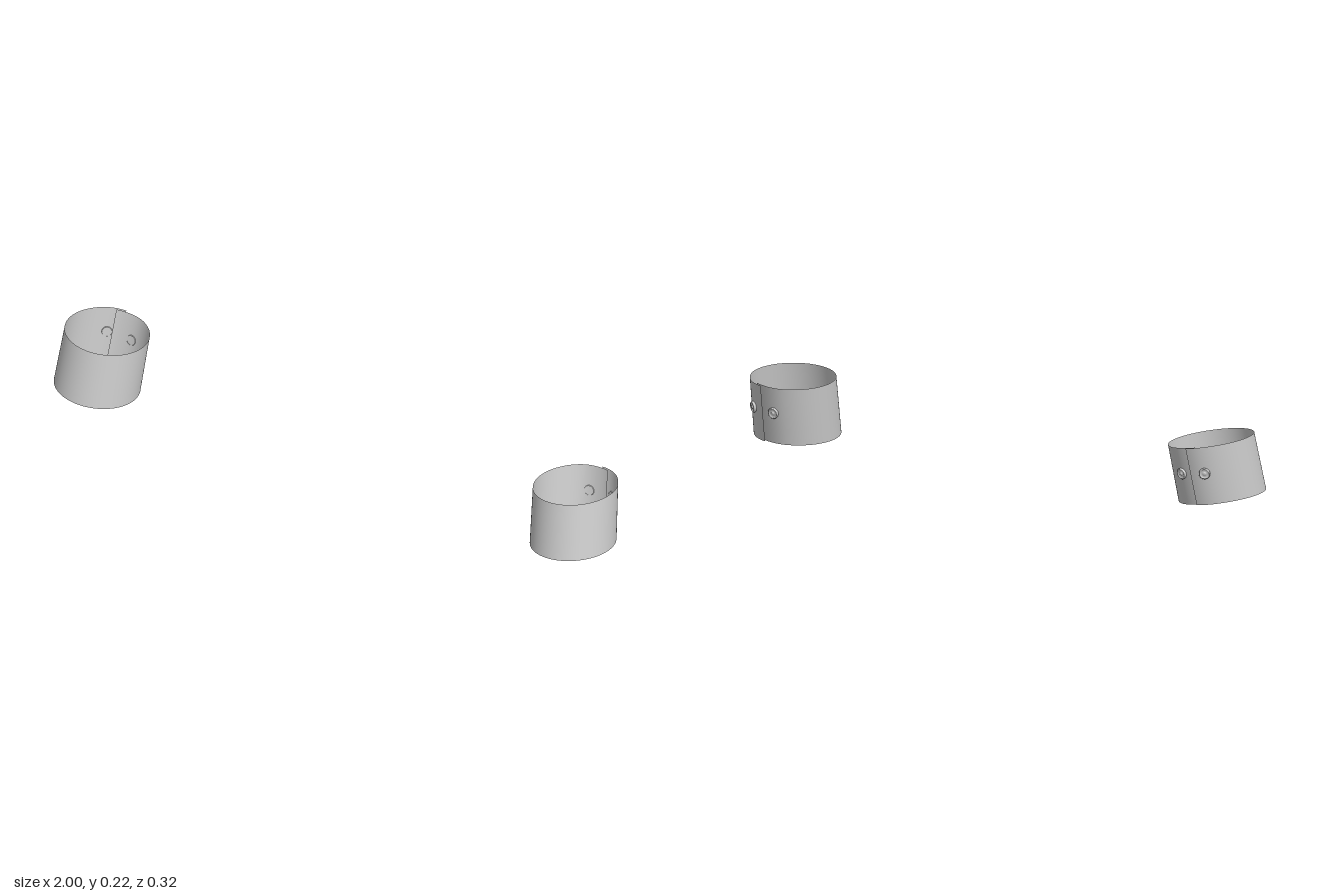
import * as THREE from 'three';

const RAD = Math.PI / 180;
const START = 6, END = 379;        // degrees round from the back; the ends overlap
const smooth = THREE.MathUtils.smoothstep;

// Point on the band: deg runs from the back over the outer side, v from hem (0) to top (1)
function bandPoint(side, deg, v) {
  const a = deg * RAD;
  const offset = 0.004 * (1 - smooth(deg, 15, 60)) - 0.004 * smooth(deg, 335, 368);
  const dx = (0.135 - 0.003 * v + offset) * Math.sin(a);
  const dz = -(0.141 + offset) * Math.cos(a);
  return new THREE.Vector3(
    side * (0.865 - 0.014 * v + dx),
    0.0185 + 0.185 * v + 0.098 * dx + 0.089 * dz,
    0.021 - 0.039 * v + dz
  );
}

// Thin wrapped strip with overlapping ends
function bandGeometry(side) {
  const cols = 96, rows = 4, pos = [], idx = [];
  for (let i = 0; i <= cols; i++)
    for (let j = 0; j <= rows; j++)
      pos.push(...bandPoint(side, START + (END - START) * i / cols, j / rows).toArray());
  for (let i = 0; i < cols; i++)
    for (let j = 0; j < rows; j++) {
      const a = i * (rows + 1) + j, b = a + rows + 1;
      if (side > 0) idx.push(a, a + 1, b, b, a + 1, b + 1);
      else idx.push(a, b, a + 1, b, b + 1, a + 1);
    }
  const g = new THREE.BufferGeometry();
  g.setAttribute('position', new THREE.Float32BufferAttribute(pos, 3));
  g.setIndex(idx);
  g.computeVertexNormals();
  return g;
}

// Round button: raised rim, dished face and a small centre stud
function buttonGeometry() {
  const profile = [
    [0.016, -0.003], [0.018, 0.002], [0.018, 0.006], [0.016, 0.008], [0.0135, 0.0075],
    [0.012, 0.005], [0.006, 0.005], [0.005, 0.0075], [0.003, 0.0085], [0, 0.0085],
  ].map(([r, y]) => new THREE.Vector2(r, y));
  return new THREE.LatheGeometry(profile, 24);
}

export function createModel() {
  const model = new THREE.Group();
  model.name = 'cuffPair';
  const material = new THREE.MeshStandardMaterial({ color: 0xcccccc, side: THREE.DoubleSide });
  const buttonShape = buttonGeometry();

  for (const side of [1, -1]) {
    const cuff = new THREE.Group();
    cuff.name = side > 0 ? 'leftCuff' : 'rightCuff';

    const band = new THREE.Mesh(bandGeometry(side), material);
    band.name = 'band';
    cuff.add(band);

    // One button on each side of the overlap, square to the surface
    for (const [name, deg] of [['outerButton', 26], ['innerButton', 349]]) {
      const p = bandPoint(side, deg, 0.55);
      const along = bandPoint(side, deg + 1, 0.55).sub(p);
      const up = bandPoint(side, deg, 0.65).sub(p);
      const normal = up.cross(along).multiplyScalar(side).normalize();
      const button = new THREE.Mesh(buttonShape, material);
      button.name = name;
      button.position.copy(p);
      button.quaternion.setFromUnitVectors(new THREE.Vector3(0, 1, 0), normal);
      cuff.add(button);
    }
    model.add(cuff);
  }
  return model;
}
